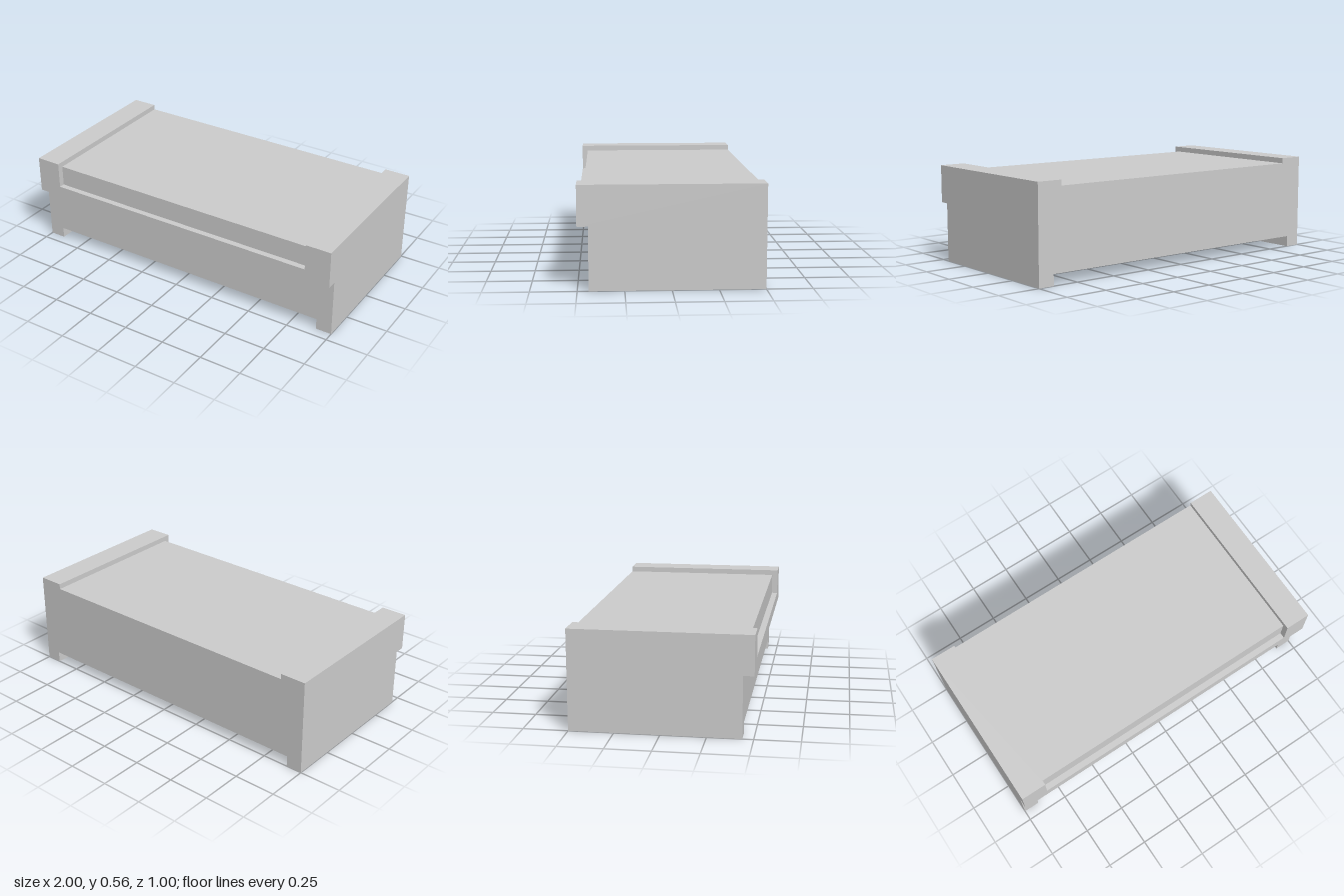
import * as THREE from 'three';

const BACK = -0.5;

export function createModel() {
  const group = new THREE.Group();
  group.name = 'daybed';
  const material = new THREE.MeshStandardMaterial({ color: 0xcccccc, flatShading: true });

  // Mirrors the right half of a front outline and extrudes it from the back to zFront
  function addExtrusion(name, half, zFront) {
    const mirrored = half.map(([x, y]) => [-x, y]).reverse();
    const shape = new THREE.Shape([...half, ...mirrored].map(([x, y]) => new THREE.Vector2(x, y)));
    const geometry = new THREE.ExtrudeGeometry(shape, { depth: zFront - BACK, bevelEnabled: false });
    geometry.translate(0, 0, BACK);
    const mesh = new THREE.Mesh(geometry, material);
    mesh.name = name;
    group.add(mesh);
  }

  // Recessed base standing on two full-depth runners
  addExtrusion('baseWithFeet', [[0.905, 0.065], [0.905, 0], [1, 0], [1, 0.345]], 0.44);

  // Overhanging deck with a raised arm at each end
  addExtrusion('deckWithArms', [[1, 0.345], [1, 0.565], [0.848, 0.565], [0.848, 0.41]], 0.5);

  // Cushion between the arms, set back from the front edge
  addExtrusion('cushion', [[0.848, 0.41], [0.848, 0.533]], 0.465);

  return group;
}
